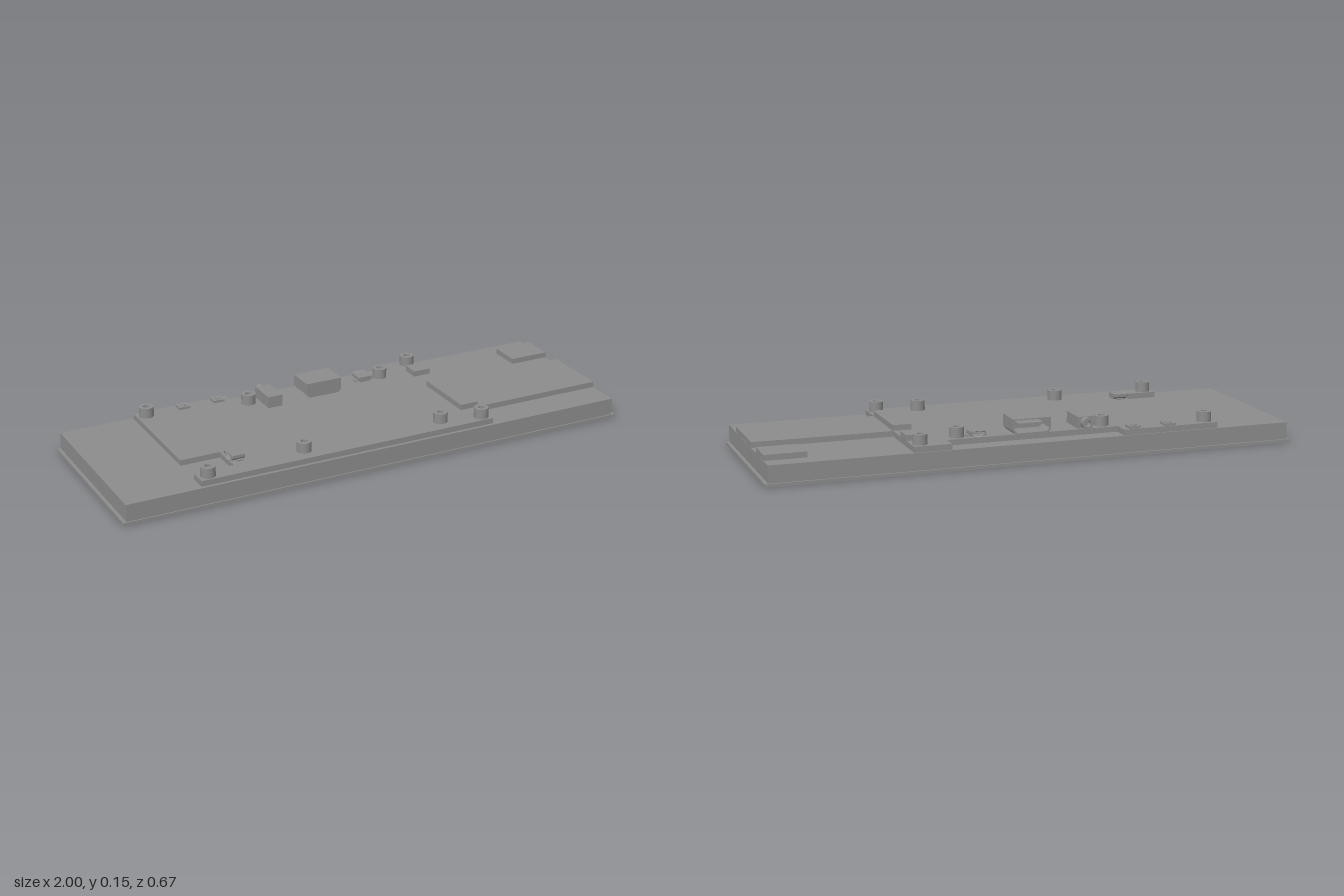
import * as THREE from 'three';

const grey = new THREE.MeshStandardMaterial({ color: 0x8c8c8c });
grey.name = 'plain grey';

const BODY = 0.076; // top of the display body
const PCB = 0.097; // top of the circuit board

function add(parent, name, geometry) {
  const mesh = new THREE.Mesh(geometry, grey);
  mesh.name = name;
  parent.add(mesh);
  return mesh;
}

// Box given by its limits on each axis
function block(parent, name, x0, x1, y0, y1, z0, z1) {
  const mesh = add(parent, name, new THREE.BoxGeometry(x1 - x0, y1 - y0, z1 - z0));
  mesh.position.set((x0 + x1) / 2, (y0 + y1) / 2, (z0 + z1) / 2);
  return mesh;
}

const toPoints = (list) => list.map(([x, y]) => new THREE.Vector2(x, y));

// Socket outline: wide on top, chamfered towards the bottom
function outline(w, h, chamfer, inset) {
  const a = w / 2 - inset, c = chamfer;
  return toPoints([
    [-a + c, inset], [a - c, inset], [a, c + inset], [a, h - inset],
    [-a, h - inset], [-a, c + inset],
  ]);
}

// Hollow socket, its mouth at local z = 0 facing -z
function socket(name, w, h, depth, wall, chamfer) {
  const group = new THREE.Group();
  group.name = name;
  const shell = new THREE.Shape(outline(w, h, chamfer, 0));
  shell.holes.push(new THREE.Path(outline(w, h, chamfer, wall)));
  add(group, 'socketShell', new THREE.ExtrudeGeometry(shell, { depth, bevelEnabled: false }));
  const plug = new THREE.Shape(outline(w, h, chamfer, wall * 0.9));
  const back = add(group, 'socketBack', new THREE.ExtrudeGeometry(plug, { depth: depth * 0.3, bevelEnabled: false }));
  back.position.z = depth * 0.7;
  block(group, 'contactTongue', -w * 0.32, w * 0.32, h * 0.5, h * 0.65, depth * 0.15, depth * 0.75);
  return group;
}

// Small port with flared lips around the mouth
function smallPort(name) {
  const port = socket(name, 0.056, 0.02, 0.05, 0.003, 0.009);
  const lips = [[0, 0.021, 0.05, 0.35], [0, 0.001, 0.036, -0.35]];
  lips.forEach(([x, y, w, tilt]) => {
    const lip = add(port, 'flaredLip', new THREE.BoxGeometry(w, 0.002, 0.01));
    lip.position.set(x, y, -0.003);
    lip.rotation.x = tilt;
  });
  for (const s of [-1, 1]) {
    const lip = add(port, 'sideLip', new THREE.BoxGeometry(0.002, 0.009, 0.01));
    lip.position.set(s * 0.029, 0.0145, -0.003);
    lip.rotation.y = s * 0.4;
    block(port, 'mountingTab', s * 0.032 - 0.005, s * 0.032 + 0.005, 0, 0.005, 0.015, 0.04);
  }
  return port;
}

// Threaded spacer with a blind hole
function standoff(parent, x, z) {
  const profile = toPoints([
    [0.027, 0], [0.027, 0.038], [0.027, 0.038], [0.012, 0.038], [0.012, 0.038], [0.012, 0.004], [0.012, 0.004], [0, 0.004],
  ]);
  const mesh = add(parent, 'standoff', new THREE.LatheGeometry(profile, 32));
  mesh.position.set(x, PCB, z);
}

export function createModel() {
  const model = new THREE.Group();
  model.name = 'displayModule';

  // Display panel
  block(model, 'coverGlass', -1, 1, 0, 0.012, -0.335, 0.335);
  block(model, 'displayBody', -0.987, 0.987, 0.011, BODY, -0.328, 0.33);

  // Circuit board with notches at the back edge and one side; shape y is -z
  const board = new THREE.Shape(toPoints([
    [-0.703, -0.318], [0.465, -0.318], [0.465, 0.322], [0.325, 0.322],
    [0.325, 0.26], [-0.33, 0.26], [-0.33, 0.322], [-0.703, 0.322],
    [-0.703, -0.13], [-0.552, -0.13], [-0.552, -0.25], [-0.703, -0.25],
  ]));
  const boardGeo = new THREE.ExtrudeGeometry(board, { depth: PCB - BODY + 0.001, bevelEnabled: false });
  boardGeo.rotateX(-Math.PI / 2);
  add(model, 'circuitBoard', boardGeo).position.y = BODY - 0.001;

  // Ribbon pads and their connectors
  block(model, 'wideRibbonPad', 0.465, 0.986, BODY - 0.001, PCB, -0.06, 0.202);
  block(model, 'smallPad', 0.832, 0.986, BODY - 0.001, PCB, -0.26, -0.137);
  block(model, 'wideRibbonConnector', 0.395, 0.466, PCB - 0.001, 0.118, -0.058, 0.202);
  block(model, 'smallRibbonConnector', 0.397, 0.466, PCB - 0.001, 0.118, -0.226, -0.158);

  // Standoffs
  for (const [x, z] of [[-0.665, 0.286], [0.432, 0.286], [-0.28, 0.254], [0.277, 0.254]]) {
    standoff(model, x, z);
    standoff(model, x, x === -0.665 || x === 0.432 ? -0.284 : -0.221);
  }

  // Video socket
  const video = socket('videoSocket', 0.145, 0.057, 0.11, 0.005, 0.012);
  video.position.set(0.006, PCB, -0.268);
  model.add(video);

  // Audio jack with a hollow barrel
  const jack = new THREE.Group();
  jack.name = 'audioJack';
  block(jack, 'jackBody', -0.235, -0.177, PCB - 0.001, 0.141, -0.253, -0.14);
  const barrel = add(jack, 'jackBarrel', new THREE.LatheGeometry(toPoints([
    [0.021, 0], [0.021, 0.025], [0.021, 0.025], [0.012, 0.025], [0.012, 0.025], [0.012, 0.002], [0.012, 0.002], [0, 0.002],
  ]), 28));
  barrel.rotation.x = -Math.PI / 2;
  barrel.position.set(-0.206, 0.119, -0.253);
  model.add(jack);

  // Small ports on the back edge and the side notch
  const backPort = smallPort('backPort');
  backPort.position.set(0.205, PCB, -0.252);
  const sidePort = smallPort('sidePort');
  sidePort.position.set(-0.545, PCB, 0.194);
  sidePort.rotation.y = Math.PI / 2;
  model.add(backPort, sidePort);

  // Push buttons
  for (const x of [-0.515, -0.376]) {
    block(model, 'buttonBase', x - 0.022, x + 0.022, PCB - 0.001, 0.106, -0.317, -0.274);
    const cap = add(model, 'buttonCap', new THREE.CylinderGeometry(0.012, 0.012, 0.004, 24));
    cap.position.set(x, 0.107, -0.2955);
  }

  return model;
}
